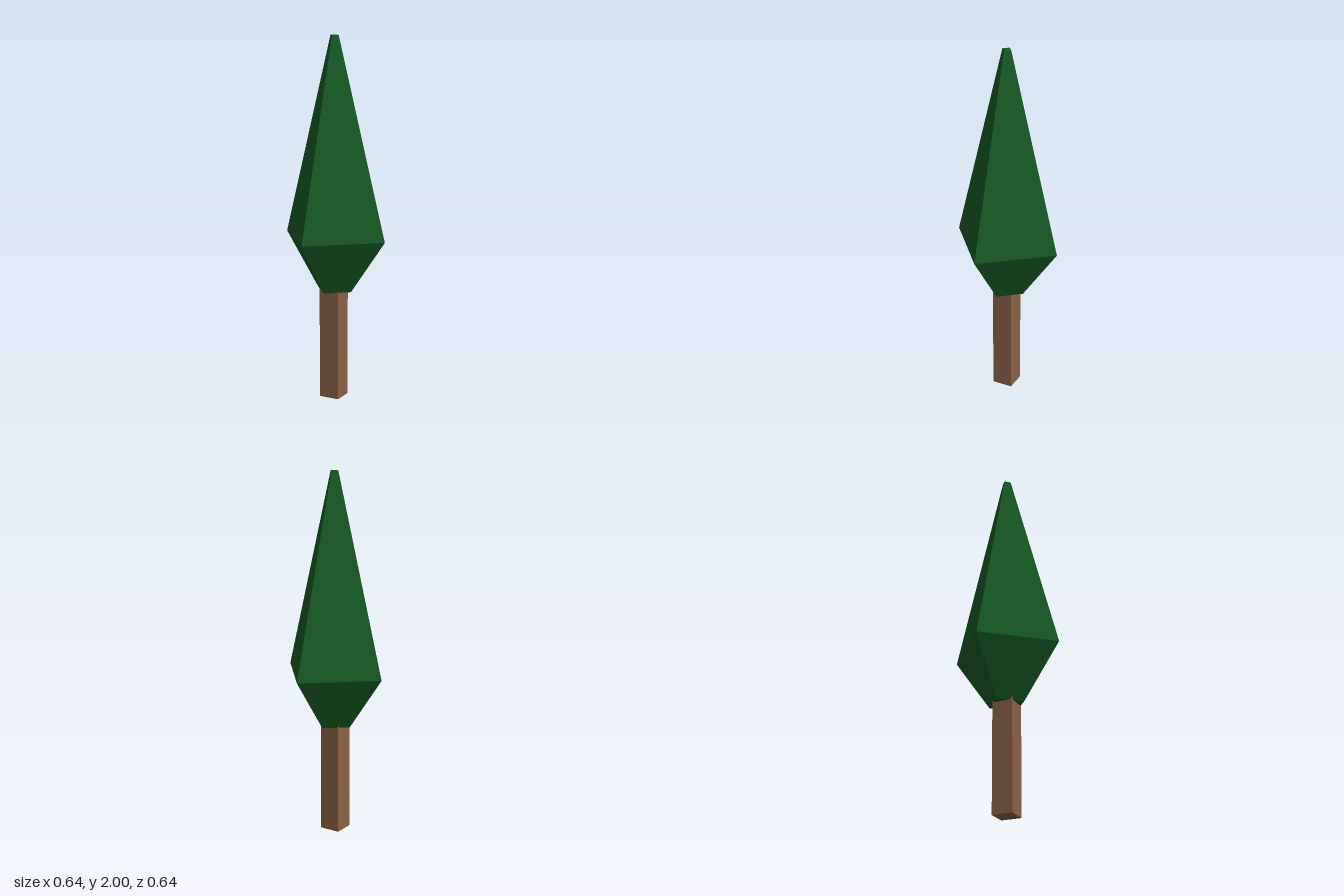
import * as THREE from 'three';

export function createModel() {
  const tree = new THREE.Group();
  tree.name = 'tree';

  const add = (name, geometry, color) => {
    const material = new THREE.MeshStandardMaterial({ color, flatShading: true });
    const mesh = new THREE.Mesh(geometry, material);
    mesh.name = name;
    tree.add(mesh);
    return mesh;
  };

  // Square trunk, its top end tucked into the foliage
  const trunkHeight = 0.63;
  const trunk = add('trunk', new THREE.BoxGeometry(0.115, trunkHeight, 0.115), 0x8a6145);
  trunk.position.set(-0.004, trunkHeight / 2, 0.002);

  // Four-sided foliage: closed base, widest ring, small flat tip
  const profile = [[0, 0.61], [0.107, 0.61], [0.319, 0.91], [0.026, 2], [0, 2]]
    .map(([r, y]) => new THREE.Vector2(r, y));
  const foliage = add('foliage', new THREE.LatheGeometry(profile, 4), 0x165a25);
  foliage.rotation.y = -0.083;

  return tree;
}
